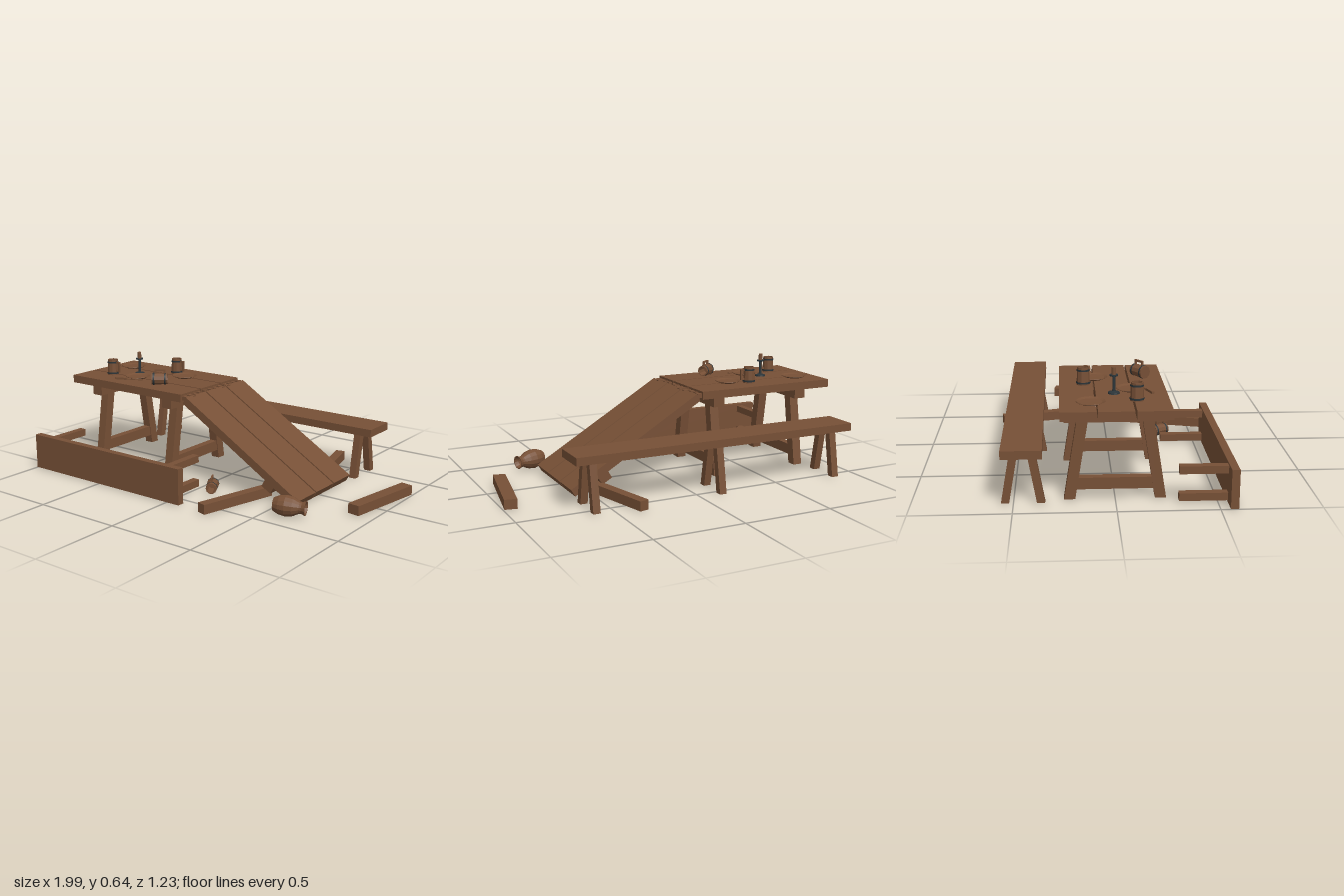
import * as THREE from 'three';

const wood = new THREE.MeshStandardMaterial({ name: 'wood', color: 0x775036 });
const iron = new THREE.MeshStandardMaterial({ name: 'darkIron', color: 0x2b3438 });

function add(parent, name, geo, mat, x = 0, y = 0, z = 0) {
  const m = new THREE.Mesh(geo, mat);
  m.name = name;
  m.position.set(x, y, z);
  parent.add(m);
  return m;
}

function group(parent, name, x = 0, y = 0, z = 0) {
  const g = new THREE.Group();
  g.name = name;
  g.position.set(x, y, z);
  parent.add(g);
  return g;
}

// Box given by its limits on each axis
function box(parent, name, x0, x1, y0, y1, z0, z1, mat = wood) {
  return add(parent, name, new THREE.BoxGeometry(x1 - x0, y1 - y0, z1 - z0), mat,
    (x0 + x1) / 2, (y0 + y1) / 2, (z0 + z1) / 2);
}

// Slanted leg with level ends: sheared along z from foot to top
function slantedLeg(parent, name, x, width, depth, height, zFoot, zTop) {
  const geo = new THREE.BoxGeometry(width, height, depth).translate(0, height / 2, 0);
  const p = geo.attributes.position;
  for (let i = 0; i < p.count; i++) {
    p.setZ(i, p.getZ(i) + zFoot + (zTop - zFoot) * p.getY(i) / height);
  }
  geo.computeVertexNormals();
  return add(parent, name, geo, wood, x, 0, 0);
}

function lathe(points, sides) {
  const geo = new THREE.LatheGeometry(points.map(([r, y]) => new THREE.Vector2(r, y)), sides).toNonIndexed();
  geo.computeVertexNormals();
  return geo;
}

const PLANKS = [[-0.27, -0.1], [-0.09, 0.083], [0.093, 0.265]];

// Ragged splinters along a broken edge; dir points away from the plank
function splinters(parent, x, y, dir) {
  const lengths = [0.03, 0.048, 0.02, 0.04, 0.027];
  PLANKS.forEach(([z0, z1], k) => {
    for (let i = 0; i < 4; i++) {
      const len = lengths[(i * 2 + k) % 5] * (dir > 0 ? 1 : 0.5);
      const z = z0 + (i + 0.5) * (z1 - z0) / 4;
      box(parent, 'splinter', Math.min(x, x + dir * len), Math.max(x, x + dir * len),
        y + 0.008, y + 0.032, z - 0.013, z + 0.01);
    }
  });
}

// Staved tankard with iron hoops and an angular handle on +x
function tankard(parent, name, x, y, z) {
  const g = group(parent, name, x, y, z);
  add(g, 'tankardBody', lathe([[0, 0], [0.034, 0], [0.03, 0.092], [0.025, 0.092], [0.026, 0.012], [0, 0.012]], 10), wood);
  for (const [h, r] of [[0.012, 0.0365], [0.077, 0.0335]]) {
    add(g, 'hoop', new THREE.CylinderGeometry(r, r, 0.01, 10, 1, true), iron, 0, h, 0);
  }
  box(g, 'handleTop', 0.028, 0.056, 0.07, 0.08, -0.005, 0.005);
  box(g, 'handleBottom', 0.028, 0.056, 0.018, 0.028, -0.005, 0.005);
  box(g, 'handleGrip', 0.046, 0.056, 0.028, 0.07, -0.005, 0.005);
  return g;
}

// Lays a tankard on its side, mouth along (dx, dz), handle upward
function layDown(g, dx, dz) {
  const mouth = new THREE.Vector3(dx, 0, dz).normalize();
  const up = new THREE.Vector3(0, 1, 0);
  g.quaternion.setFromRotationMatrix(
    new THREE.Matrix4().makeBasis(up, mouth, up.clone().cross(mouth)));
  g.position.addScaledVector(mouth, -0.046);
}

export function createModel() {
  const model = new THREE.Group();
  model.name = 'brokenTableAndBenches';

  // Standing half of the table
  const table = group(model, 'standingTableHalf');
  for (const [z0, z1] of PLANKS) box(table, 'tablePlank', -1, -0.16, 0.455, 0.5, z0, z1);
  splinters(table, -0.16, 0.457, 1);
  for (const x of [-0.816, -0.276]) {
    box(table, 'topBeam', x - 0.034, x + 0.034, 0.4, 0.455, -0.25, 0.25);
    box(table, 'footBeam', x - 0.022, x + 0.022, 0.05, 0.11, -0.22, 0.22);
    for (const s of [-1, 1]) slantedLeg(table, 'tableLeg', x, 0.053, 0.055, 0.41, s * 0.225, s * 0.16);
  }

  // Collapsed half, sloping to the ground
  const fallen = group(model, 'collapsedTableHalf', -0.122, 0.49, 0);
  fallen.rotation.z = -Math.atan2(0.445, 0.745);
  for (const [z0, z1] of PLANKS) box(fallen, 'fallenPlank', 0, 0.868, -0.045, 0, z0, z1);
  splinters(fallen, 0, -0.043, -1);
  box(fallen, 'fallenTopBeam', 0.643, 0.708, -0.097, -0.045, -0.25, 0.25);

  // Broken legs and foot beam on the ground
  for (const [name, x, z, angle, w] of [
    ['brokenLegFront', 0.31, 0.383, -0.258, 0.053],
    ['brokenLegBack', 0.418, -0.393, 0.25, 0.053],
    ['brokenFootBeam', 0.923, -0.075, -0.165, 0.068]]) {
    add(model, name, new THREE.BoxGeometry(w, 0.053, 0.46), wood, x, 0.0265, z).rotation.y = angle;
  }

  // Upright bench
  const bench = group(model, 'uprightBench');
  box(bench, 'benchSeat', -0.96, 0.7, 0.257, 0.3, -0.555, -0.355);
  for (const x of [-0.86, -0.13, 0.597]) {
    for (const s of [-1, 1]) slantedLeg(bench, 'benchLeg', x, 0.04, 0.04, 0.26, -0.453 + s * 0.088, -0.453 + s * 0.042);
  }

  // Toppled bench on its side
  const toppled = group(model, 'toppledBench');
  box(toppled, 'toppledSeat', -1, 0.085, 0, 0.2, 0.548, 0.588);
  for (const x of [-0.895, -0.02]) {
    for (const y of [0.01, 0.15]) box(toppled, 'toppledLeg', x - 0.02, x + 0.02, y, y + 0.04, 0.308, 0.548);
  }

  // Tankards, two standing and two tipped over
  tankard(model, 'tankardLeft', -0.822, 0.5, 0.105);
  tankard(model, 'tankardBack', -0.53, 0.5, -0.147);
  layDown(tankard(model, 'tankardTipped', -0.41, 0.535, 0.15), 0.8, -0.6);
  layDown(tankard(model, 'tankardOnGround', 0.1, 0.035, 0.318), 0.5, 0.85);

  // Plates and knife
  for (const [x, z] of [[-0.858, -0.12], [-0.422, -0.09], [-0.64, 0.085]]) {
    add(model, 'plate', lathe([[0, 0], [0.05, 0], [0.072, 0.01], [0.071, 0.013], [0.056, 0.007], [0, 0.006]], 20), wood, x, 0.5, z);
  }
  const knife = group(model, 'knife', -0.64, 0.5, 0.163);
  knife.rotation.y = 0.36;
  box(knife, 'knifeHandle', -0.085, -0.015, 0, 0.012, -0.007, 0.007);
  box(knife, 'knifeBlade', -0.015, 0.085, 0.003, 0.008, -0.009, 0.009);

  // Candlestick
  const candle = group(model, 'candlestick', -0.7, 0.5, 0);
  add(candle, 'holder', lathe([[0, 0], [0.03, 0], [0.028, 0.008], [0.008, 0.014], [0.007, 0.085],
    [0.021, 0.09], [0.021, 0.097], [0, 0.097]], 12), iron);
  add(candle, 'candle', new THREE.CylinderGeometry(0.011, 0.011, 0.038, 10), wood, 0, 0.115, 0);

  // Jug lying on the ground, neck pointing right and slightly back
  const jug = add(model, 'jug', lathe([[0, 0], [0.036, 0], [0.05, 0.03], [0.056, 0.065], [0.05, 0.105], [0.032, 0.138],
    [0.031, 0.15], [0.039, 0.17], [0.033, 0.17], [0.025, 0.148], [0.042, 0.1], [0.04, 0.03], [0, 0.012]], 14),
  wood, 0.555, 0.056, 0.39);
  jug.quaternion.setFromUnitVectors(new THREE.Vector3(0, 1, 0), new THREE.Vector3(0.95, -0.03, -0.3).normalize());

  return model;
}
